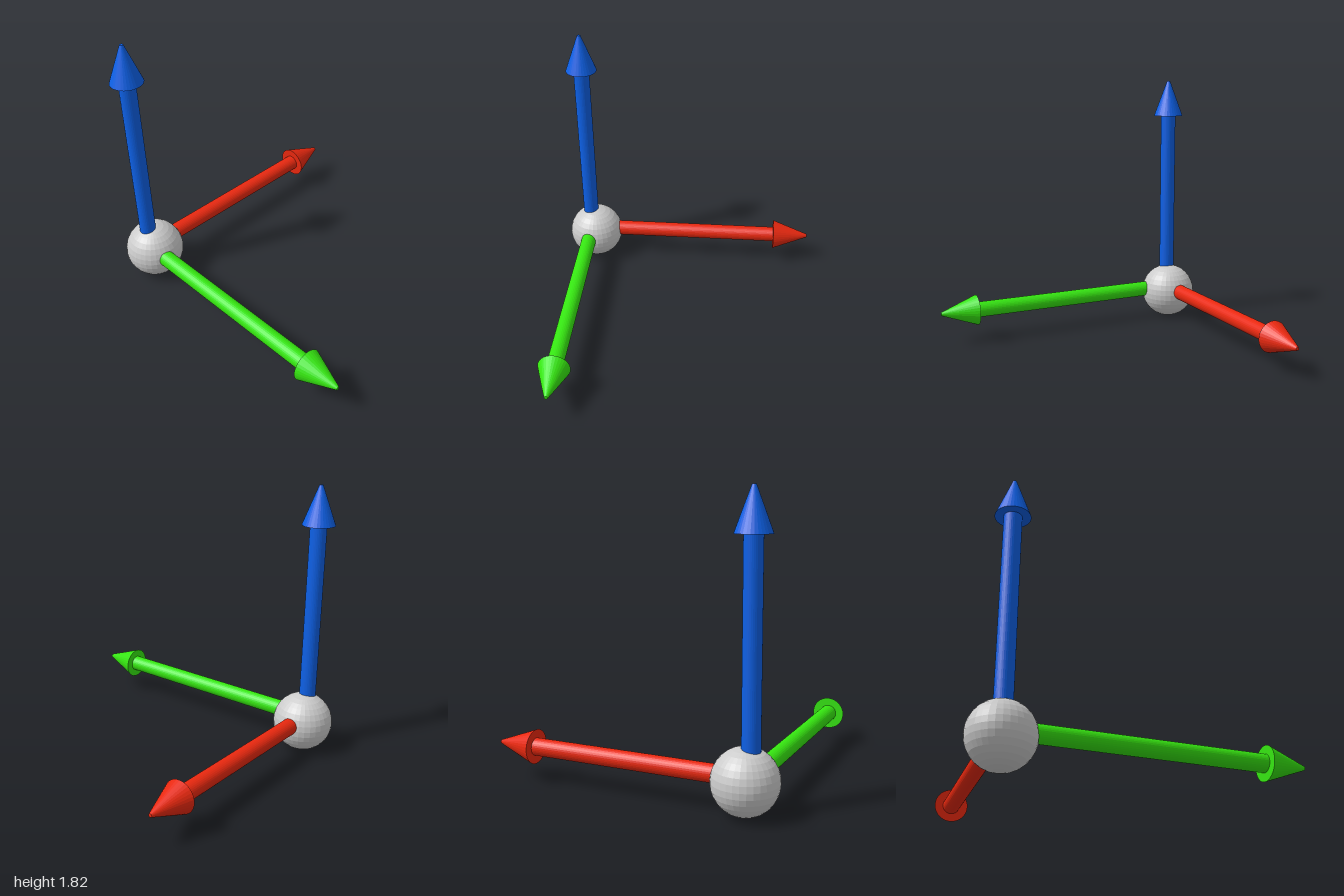
import * as THREE from 'three';

const ORIGIN = new THREE.Vector3(-0.757, 0.222, -0.807);
const SIDES = 32;

// One arrow along +y from the origin: thin shaft plus a blunt-tipped cone head
function makeArrow(name, color, headStart, tip) {
  const arrow = new THREE.Group();
  arrow.name = name;
  const material = new THREE.MeshStandardMaterial({ color, flatShading: true });

  const shaft = new THREE.Mesh(new THREE.CylinderGeometry(0.055, 0.055, headStart, SIDES), material);
  shaft.name = name + 'Shaft';
  shaft.position.y = headStart / 2;

  const head = new THREE.Mesh(new THREE.CylinderGeometry(0.012, 0.108, tip - headStart, SIDES), material);
  head.name = name + 'Head';
  head.position.y = (headStart + tip) / 2;

  arrow.add(shaft, head);
  arrow.position.copy(ORIGIN);
  return arrow;
}

export function createModel() {
  const model = new THREE.Group();
  model.name = 'axisMarker';

  // Ball at the corner
  const ball = new THREE.Mesh(
    new THREE.SphereGeometry(0.199, 32, 16),
    new THREE.MeshStandardMaterial({ color: 0xcccccc, flatShading: true })
  );
  ball.name = 'originBall';
  ball.position.set(-0.723, 0.2, -0.801);
  model.add(ball);

  // Upright arrow
  model.add(makeArrow('upArrow', 0x0d60e6, 1.343, 1.602));

  // Sideways arrow
  const side = makeArrow('sideArrow', 0xe8280f, 1.417, 1.678);
  side.rotation.z = -Math.PI / 2;
  model.add(side);

  // Forward arrow
  const forward = makeArrow('forwardArrow', 0x35e510, 1.549, 1.807);
  forward.rotation.x = Math.PI / 2;
  model.add(forward);

  return model;
}
